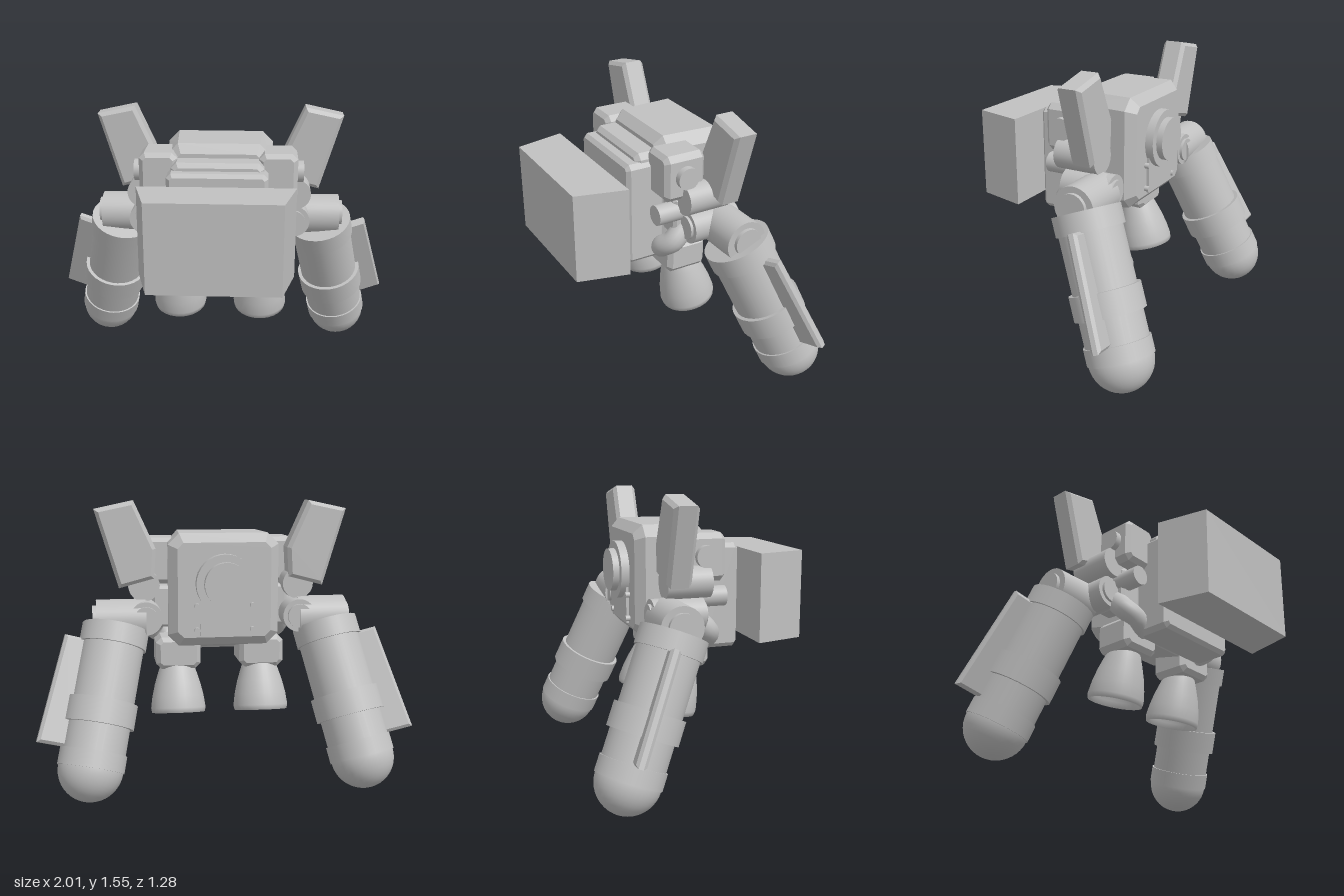
import * as THREE from 'three';

const grey = new THREE.MeshStandardMaterial({ color: 0xc0c0c0 });
grey.name = 'plain grey';
const greyOpen = new THREE.MeshStandardMaterial({ color: 0xc0c0c0, side: THREE.DoubleSide });
greyOpen.name = 'plain grey open';

function add(parent, name, geometry, pos = [0, 0, 0], material = grey) {
  const mesh = new THREE.Mesh(geometry, material);
  mesh.name = name;
  mesh.position.set(...pos);
  parent.add(mesh);
  return mesh;
}

function polygon(points) {
  return new THREE.Shape(points.map(([x, y]) => new THREE.Vector2(x, y)));
}

// Extruded outline centred on z, with chamfered rims kept inside the depth
function slab(shape, depth, bevel) {
  return new THREE.ExtrudeGeometry(shape, {
    depth: depth - 2 * bevel, bevelEnabled: bevel > 0, bevelSize: bevel,
    bevelThickness: bevel, bevelOffset: -bevel, bevelSegments: 1, steps: 1,
  }).translate(0, 0, -depth / 2 + bevel);
}

// Box with chamfered edges, given by its two corners
function chamferBox(parent, name, [x0, y0, z0], [x1, y1, z1], c) {
  const w = (x1 - x0) / 2, h = (y1 - y0) / 2;
  const shape = polygon([[-w + c, -h], [w - c, -h], [w, -h + c], [w, h - c],
    [w - c, h], [-w + c, h], [-w, h - c], [-w, -h + c]]);
  return add(parent, name, slab(shape, z1 - z0, c * 0.8),
    [(x0 + x1) / 2, (y0 + y1) / 2, (z0 + z1) / 2]);
}

function rod(parent, name, axis, r, from, to, a, b) {
  const g = new THREE.CylinderGeometry(r, r, to - from, 32);
  const mid = (from + to) / 2;
  if (axis === 'x') return add(parent, name, g.rotateZ(Math.PI / 2), [mid, a, b]);
  return add(parent, name, g.rotateX(Math.PI / 2), [a, b, mid]);
}

// Tilted booster leg: local y runs up the leg, local x points out to the fin
function buildLeg() {
  const leg = new THREE.Group();
  leg.name = 'boosterLeg';
  const up = new THREE.Vector3(-0.22, 1, 0.42).normalize();
  const out = new THREE.Vector3(0.95, 0.28, -0.15);
  out.addScaledVector(up, -out.dot(up)).normalize();
  const across = new THREE.Vector3().crossVectors(out, up);
  leg.quaternion.setFromRotationMatrix(new THREE.Matrix4().makeBasis(out, up, across));
  leg.position.set(0.665, 0.477, -0.335);

  const sections = [['legShaft', 0.168, -0.34, 0.4], ['topBand', 0.181, 0.32, 0.425],
    ['middleBand', 0.188, -0.11, 0.02], ['bottomBand', 0.177, -0.34, -0.25]];
  for (const [name, r, y0, y1] of sections) {
    add(leg, name, new THREE.CylinderGeometry(r, r, y1 - y0, 32), [0, (y0 + y1) / 2, 0]);
  }
  add(leg, 'roundedFoot',
    new THREE.SphereGeometry(0.171, 32, 10, 0, Math.PI * 2, Math.PI / 2, Math.PI / 2), [0, -0.34, 0]);
  const fin = polygon([[0.13, -0.25], [0.305, -0.25], [0.265, 0.33], [0.13, 0.33]]);
  add(leg, 'legFin', slab(fin, 0.055, 0.015));
  return leg;
}

// Everything on the model's left
function buildSide() {
  const side = new THREE.Group();

  // Shoulder box with its round boss
  chamferBox(side, 'shoulderBox', [0.22, 1.085, -0.07], [0.43, 1.34, 0.165], 0.03);
  rod(side, 'shoulderBoss', 'x', 0.06, 0.4, 0.465, 1.22, 0.05);

  // Wing and the pivot that carries it
  rod(side, 'wingPivot', 'z', 0.085, -0.18, 0.065, 0.425, 1.09);
  const wing = polygon([[0.56, 1.08], [0.685, 1.5], [0.475, 1.545], [0.36, 1.29], [0.37, 1.13]].reverse());
  add(side, 'wing', slab(wing, 0.135, 0.02), [0, 0, -0.138]);

  // Hip joint and the horizontal pin of the leg
  rod(side, 'hipJoint', 'z', 0.09, -0.25, 0.03, 0.42, 0.92);
  rod(side, 'hipJointCap', 'z', 0.065, -0.265, 0.045, 0.42, 0.92);
  rod(side, 'legPin', 'x', 0.115, 0.42, 0.685, 0.903, -0.165);
  rod(side, 'legPinCap', 'x', 0.075, 0.68, 0.705, 0.91, -0.165);
  side.add(buildLeg());

  // Small fittings beside the chest
  rod(side, 'sideValve', 'z', 0.055, 0.0, 0.185, 0.35, 0.995);
  chamferBox(side, 'sideBlock', [0.25, 0.85, -0.12], [0.38, 1.08, 0.085], 0.02);
  const path = new THREE.CatmullRomCurve3([[0.35, 0.9, 0.0], [0.36, 0.82, 0.08],
    [0.3, 0.77, 0.11], [0.24, 0.72, 0.06], [0.24, 0.68, 0]].map((p) => new THREE.Vector3(...p)));
  add(side, 'elbowPipe', new THREE.TubeGeometry(path, 24, 0.06, 16));

  // Thruster block and hollow bell nozzle
  chamferBox(side, 'thrusterBlock', [0.11, 0.61, -0.13], [0.36, 0.79, 0.1], 0.03);
  const bell = [[0.07, 0.04], [0.09, 0], [0.108, -0.05], [0.13, -0.12], [0.146, -0.19], [0.155, -0.255],
    [0.15, -0.282], [0.138, -0.282], [0.138, -0.25], [0.128, -0.19], [0.11, -0.12], [0.07, -0.03], [0, -0.02]];
  const nozzle = add(side, 'thrusterNozzle',
    new THREE.LatheGeometry(bell.map(([r, y]) => new THREE.Vector2(r, y)), 32),
    [0.237, 0.628, -0.03], greyOpen);
  nozzle.rotation.x = 0.245;
  return side;
}

function buildBody() {
  const body = new THREE.Group();
  body.name = 'body';

  // Main pack, with its underside rising towards the back
  const pack = chamferBox(body, 'mainPack', [-0.3, 0.7, -0.285], [0.3, 1.375, 0.115], 0.06);
  const p = pack.geometry.attributes.position;
  for (let i = 0; i < p.count; i++) {
    if (p.getY(i) < 0 && p.getZ(i) < 0) p.setY(i, p.getY(i) + 0.07);
    if (p.getZ(i) > 0) p.setX(i, p.getX(i) * 0.93);
  }
  pack.geometry.computeVertexNormals();

  // Stepped chest
  chamferBox(body, 'chestStep', [-0.25, 0.72, 0.05], [0.25, 1.305, 0.235], 0.03);
  chamferBox(body, 'chestPanel', [-0.27, 0.685, 0.08], [0.27, 1.265, 0.3], 0.025);

  // Round hatch, lower panel and bolts on the back
  rod(body, 'hatchRing', 'z', 0.158, -0.33, -0.25, 0, 1.11);
  rod(body, 'hatchCentre', 'z', 0.117, -0.365, -0.3, 0, 1.11);
  add(body, 'backPanel', new THREE.BoxGeometry(0.27, 0.2, 0.03), [0, 0.93, -0.285]);
  for (const x of [-0.15, 0.15]) {
    for (const y of [0.86, 0.99]) rod(body, 'backBolt', 'z', 0.015, -0.31, -0.27, x, y);
  }
  return body;
}

export function createModel() {
  const model = new THREE.Group();
  model.name = 'thrusterPack';
  model.add(buildBody());

  // Separate block floating in front, tapering forward
  const plan = polygon([[-0.348, -0.645], [0.348, -0.645], [0.417, -0.37], [-0.417, -0.37]]);
  const block = new THREE.ExtrudeGeometry(plan, { depth: 0.49, bevelEnabled: false }).rotateX(-Math.PI / 2);
  add(model, 'frontBlock', block, [0, 0.73, 0]);

  for (const s of [1, -1]) {
    const side = buildSide();
    side.name = s > 0 ? 'leftSide' : 'rightSide';
    side.scale.x = s;
    model.add(side);
  }
  return model;
}
